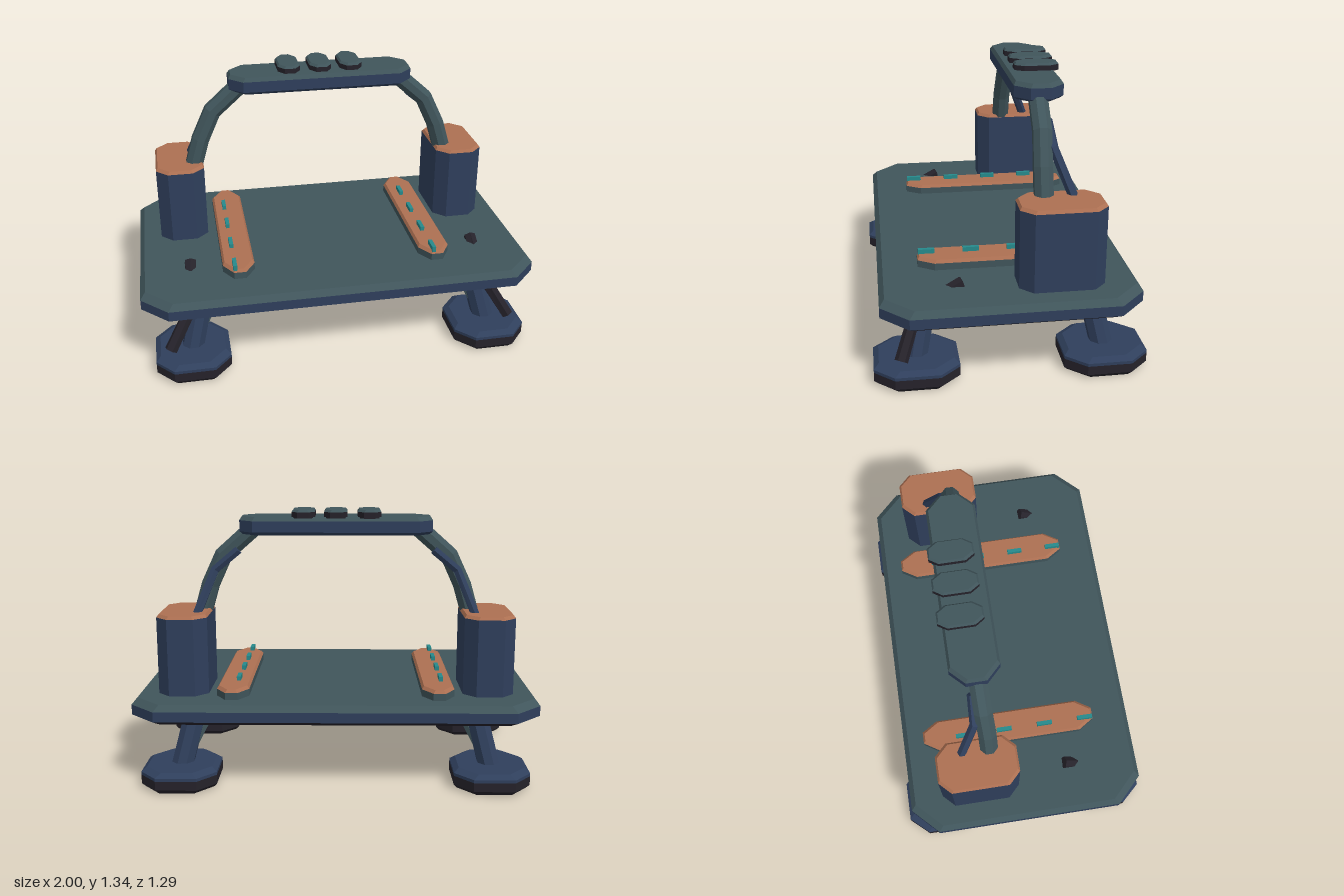
import * as THREE from 'three';

const mat = (name, color) => {
  const m = new THREE.MeshStandardMaterial({ color });
  m.name = name;
  return m;
};

// Faceted skin through rings of points; mats = [start cap, ...bands, end cap]
function loft(name, rings, mats) {
  const pos = [];
  const geo = new THREE.BufferGeometry();
  const list = [...new Set(mats)];
  const n = rings[0].length;
  const tri = (...pts) => pts.forEach(p => pos.push(p.x, p.y, p.z));
  const group = (m, build) => {
    const start = pos.length / 3;
    build();
    geo.addGroup(start, pos.length / 3 - start, list.indexOf(m));
  };
  const cap = (r, flip) => {
    for (let j = 1; j < n - 1; j++) flip ? tri(r[0], r[j + 1], r[j]) : tri(r[0], r[j], r[j + 1]);
  };
  group(mats[0], () => cap(rings[0], true));
  for (let i = 0; i < rings.length - 1; i++) {
    group(mats[i + 1], () => {
      for (let j = 0; j < n; j++) {
        const k = (j + 1) % n, a = rings[i], b = rings[i + 1];
        tri(a[j], a[k], b[k]);
        tri(a[j], b[k], b[j]);
      }
    });
  }
  group(mats[mats.length - 1], () => cap(rings[rings.length - 1], false));
  geo.setAttribute('position', new THREE.Float32BufferAttribute(pos, 3));
  geo.computeVertexNormals();
  const mesh = new THREE.Mesh(geo, list.length > 1 ? list : list[0]);
  mesh.name = name;
  return mesh;
}

// Slab with cut corners; levels = [height, inset] pairs
function slab(name, [cx, cz], [w, d], [a, b], levels, mats) {
  const rings = levels.map(([y, inset]) => {
    const x = w / 2 - inset, z = d / 2 - inset;
    return [[x, z - b], [x, b - z], [x - a, -z], [a - x, -z], [-x, b - z], [-x, z - b], [a - x, z], [x - a, z]]
      .map(p => new THREE.Vector3(cx + p[0], y, cz + p[1]));
  });
  return loft(name, rings, mats);
}

// Bent rod through points, mirrored in x by side
function rod(name, side, points, radius, sides, material) {
  const p = points.map(([x, y, z]) => new THREE.Vector3(x * side, y, z));
  const rings = p.map((c, i) => {
    const t = new THREE.Vector3();
    if (i > 0) t.add(c.clone().sub(p[i - 1]).normalize());
    if (i < p.length - 1) t.add(p[i + 1].clone().sub(c).normalize());
    t.normalize();
    const u = new THREE.Vector3(0, 0, 1).cross(t).normalize();
    const v = t.clone().cross(u);
    return Array.from({ length: sides }, (_, j) => {
      const q = (j + 0.5) / sides * Math.PI * 2;
      return c.clone().addScaledVector(u, radius * Math.cos(q)).addScaledVector(v, radius * Math.sin(q));
    });
  });
  return loft(name, rings, Array(p.length + 1).fill(material));
}

export function createModel() {
  const model = new THREE.Group();
  model.name = 'carryPlatform';
  const navy = mat('navy', 0x2f3f5c);
  const slate = mat('slate', 0x40555b);
  const copper = mat('copper', 0xad7052);
  const black = mat('black', 0x25222a);
  const teal = mat('teal', 0x268a8c);

  // Deck
  model.add(slab('deck', [0, 0], [2, 1.22], [0.13, 0.13],
    [[0.33, 0.03], [0.35, 0], [0.4, 0], [0.43, 0.025]], [navy, black, navy, slate, slate]));

  // Handle grip and its three pads
  model.add(slab('handleGrip', [0, -0.187], [0.96, 0.24], [0.07, 0.07],
    [[1.21, 0.015], [1.225, 0], [1.28, 0], [1.3, 0.012]], [navy, navy, navy, slate, slate]));
  for (const x of [-0.165, 0, 0.16]) {
    model.add(slab('gripPad', [x, -0.217], [0.115, 0.22], [0.03, 0.045],
      [[1.295, 0], [1.325, 0], [1.336, 0.008]], [black, black, slate, slate]));
  }

  for (const s of [-1, 1]) {
    // Tower block
    model.add(slab('tower', [s * 0.758, -0.235], [0.25, 0.405], [0.06, 0.06],
      [[0.42, 0], [0.815, 0], [0.83, 0.01]], [navy, navy, copper, copper]));

    // Handle arm and rear brace
    model.add(rod('handleArm', s,
      [[0.69, 0.78, -0.167], [0.64, 0.95, -0.168], [0.57, 1.1, -0.175], [0.4, 1.25, -0.18]], 0.048, 8, slate));
    model.add(rod('armBrace', s,
      [[0.705, 0.79, -0.315], [0.61, 1.03, -0.222], [0.49, 1.13, -0.215]], 0.024, 6, navy));

    // Raised rail with inlaid bars
    model.add(slab('rail', [s * 0.507, -0.042], [0.16, 0.915], [0.05, 0.08],
      [[0.425, 0], [0.465, 0], [0.48, 0.01]], [slate, slate, copper, copper]));
    for (const z of [0.37, 0.152, -0.066, -0.285]) {
      const bar = new THREE.Mesh(new THREE.BoxGeometry(0.02, 0.03, 0.08), teal);
      bar.name = 'railBar';
      bar.position.set(s * 0.51 - 0.02, 0.487, z);
      model.add(bar);
    }

    // Feet, legs and inner struts
    for (const f of [-1, 1]) {
      model.add(slab('foot', [s * 0.765, f * 0.447], [0.37, 0.4], [0.085, 0.095],
        [[0, 0.015], [0.02, 0], [0.065, 0], [0.08, 0], [0.1, 0.025]], [black, black, black, navy, navy, navy]));
      model.add(rod('leg', s, [[0.765, 0.08, f * 0.447], [0.695, 0.36, f * 0.388]], 0.056, 8, navy));
      model.add(rod('innerStrut', s, [[0.73, 0.14, f * 0.43], [0.615, 0.36, f * 0.375]], 0.024, 6, slate));
    }

    // Bent front strut whose tip breaks through the deck
    model.add(rod('frontStrut', s,
      [[0.875, 0.12, 0.52], [0.755, 0.315, 0.44], [0.745, 0.44, 0.22]], 0.032, 6, black));
  }
  return model;
}
